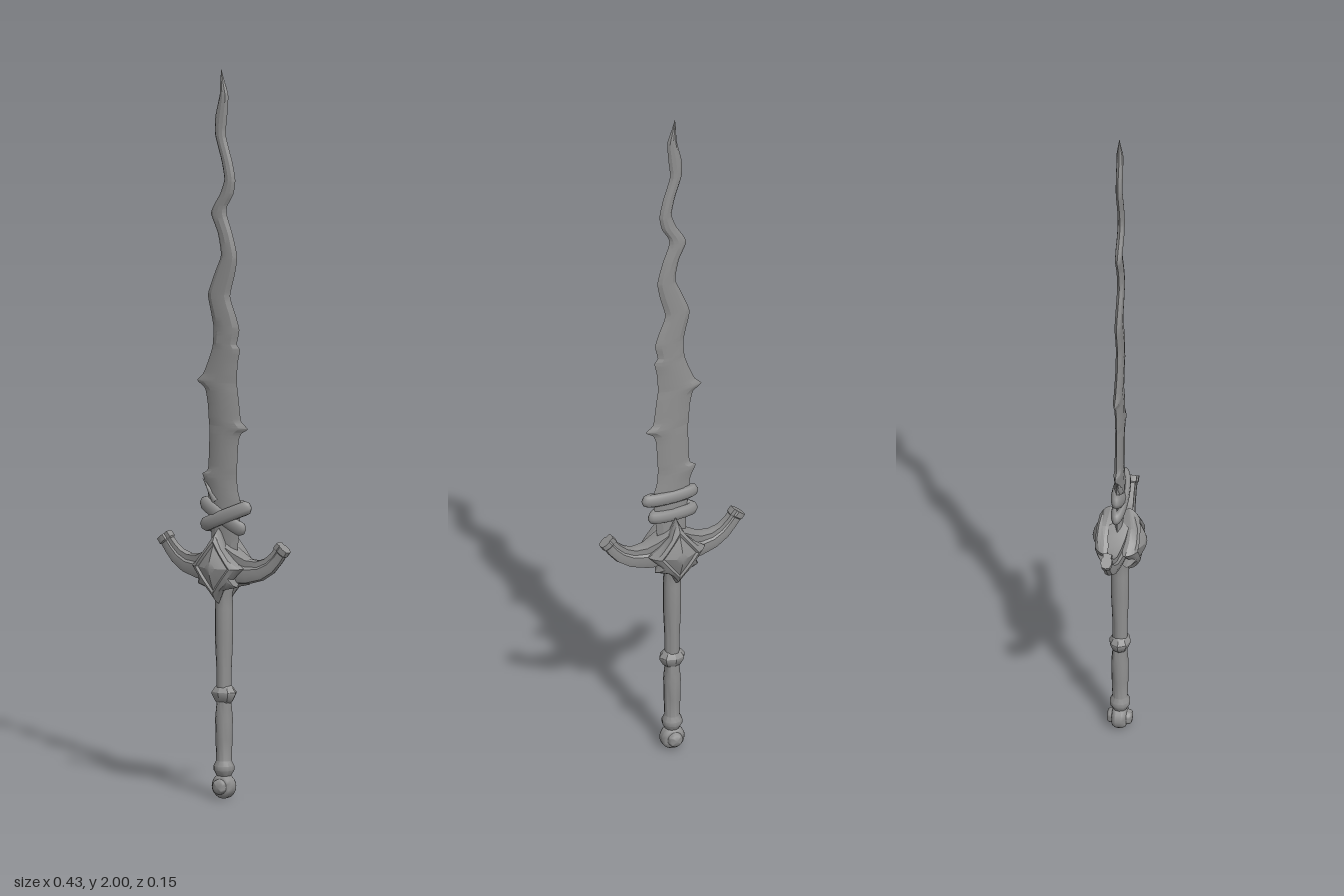
import * as THREE from 'three';
import { toCreasedNormals } from 'three/addons/utils/BufferGeometryUtils.js';

const material = new THREE.MeshStandardMaterial({ color: 0x909090 });
const V = (x, y, z) => new THREE.Vector3(x, y, z);

// Skin a list of equal-length closed rings and cap both ends.
function loft(rings, crease) {
  const n = rings[0].length, pos = [], idx = [];
  rings.forEach(r => r.forEach(p => pos.push(p.x, p.y, p.z)));
  for (let i = 0; i < rings.length - 1; i++)
    for (let j = 0; j < n; j++) {
      const a = i * n + j, b = i * n + (j + 1) % n;
      idx.push(a, b, b + n, a, b + n, a + n);
    }
  [0, rings.length - 1].forEach((k, end) => {
    const c = rings[k].reduce((s, p) => s.add(p), V(0, 0, 0)).divideScalar(n);
    const ci = pos.length / 3;
    pos.push(c.x, c.y, c.z);
    for (let j = 0; j < n; j++) {
      const a = k * n + j, b = k * n + (j + 1) % n;
      if (end) idx.push(ci, a, b); else idx.push(ci, b, a);
    }
  });
  const g = new THREE.BufferGeometry();
  g.setAttribute('position', new THREE.Float32BufferAttribute(pos, 3));
  g.setIndex(idx);
  return toCreasedNormals(g, crease);
}

function add(parent, name, geometry) {
  const m = new THREE.Mesh(geometry, material);
  m.name = name;
  parent.add(m);
  return m;
}

// Wavy blade: rows of height, left edge, right edge
function bladeGeometry() {
  const rows = [
    [0.64, -0.04, 0.04], [0.74, -0.042, 0.05], [0.81, -0.05, 0.055], [0.85, -0.055, 0.045],
    [0.885, -0.07, 0.042], [0.9, -0.052, 0.042], [0.98, -0.048, 0.047], [1.005, -0.048, 0.056],
    [1.02, -0.048, 0.077], [1.04, -0.05, 0.056], [1.08, -0.053, 0.05], [1.12, -0.062, 0.045],
    [1.14, -0.087, 0.042], [1.16, -0.068, 0.042], [1.2, -0.05, 0.045], [1.235, -0.038, 0.052],
    [1.25, -0.036, 0.042], [1.29, -0.034, 0.05], [1.33, -0.042, 0.038], [1.38, -0.052, 0.02],
    [1.44, -0.03, 0.035], [1.49, -0.01, 0.043], [1.55, -0.02, 0.028], [1.6, -0.042, 0.01],
    [1.625, -0.033, 0.01], [1.66, -0.012, 0.03], [1.7, 0.001, 0.037], [1.75, -0.008, 0.027],
    [1.82, -0.029, 0.006], [1.87, -0.028, 0.01], [1.93, -0.014, 0.014], [1.97, -0.012, 0.001],
    [2, -0.009, -0.008]];
  const curve = new THREE.CatmullRomCurve3(
    rows.map(([y, l, r]) => V(l, y, r)), false, 'catmullrom', 0.3);
  const rings = [];
  for (let i = 0; i <= 160; i++) {
    const p = curve.getPoint(i / 160), y = Math.min(p.y, 2), l = p.x, r = p.z;
    const c = (l + r) / 2, w = (r - l) / 2, t = Math.min(0.012 - 0.002 * (y - 0.64), w * 0.8);
    rings.push([V(c, y, t), V(c + w * 0.6, y, t * 0.75), V(c + w, y, 0),
      V(c + w * 0.6, y, -t * 0.75), V(c, y, -t), V(c - w * 0.6, y, -t * 0.75),
      V(c - w, y, 0), V(c - w * 0.6, y, t * 0.75)]);
  }
  return loft(rings, 0.35);
}

// Upswept guard arm: rows of x, y, half height, half depth
function armGeometry() {
  const rows = [[0, 0.645, 0.06, 0.036], [0.04, 0.636, 0.046, 0.031], [0.08, 0.63, 0.035, 0.023],
    [0.12, 0.636, 0.028, 0.018], [0.15, 0.652, 0.024, 0.014], [0.172, 0.674, 0.021, 0.012],
    [0.184, 0.69, 0.02, 0.012], [0.186, 0.693, 0.023, 0.015], [0.196, 0.706, 0.022, 0.015]];
  const path = new THREE.CatmullRomCurve3(rows.map(r => V(r[0], r[1], 0)));
  return loft(rows.map(([x, y, h, w], i) => {
    const t = path.getTangent(i / (rows.length - 1));
    // Flat upper edge, front ridge with a side groove, lower edge, and the same on the back
    return [[1, 0], [0.92, 0.8], [0.4, 0.75], [0.2, 1], [-0.35, 1], [-0.85, 0.75],
      [-1, 0], [-0.85, -0.75], [-0.35, -1], [0.2, -1], [0.4, -0.75], [0.92, -0.8]]
      .map(([u, v]) => V(x - t.y * u * h, y + t.x * u * h, v * w));
  }), 0.5);
}

// Domed four-pointed boss with barbs, a shallow groove and a raised centre
function emblemGeometry() {
  const right = [[0, -0.102], [0.02, -0.064], [0.032, -0.06], [0.064, -0.052], [0.054, -0.03],
    [0.083, 0.0], [0.052, 0.024], [0.024, 0.052], [0, 0.105]];
  const outline = [...right, ...right.slice(1, -1).reverse().map(([x, y]) => [-x, y])];
  const diamond = outline.map(([x, y]) => {
    const s = 1 / (Math.abs(x) / 0.076 + Math.abs(y) / 0.1);
    return [x * s, y * s];
  });
  // Scale, depth, blend from barbed outline to plain diamond, droop of the tips
  const layers = [[0.85, 0.01, 0, 0], [1, 0.046, 0, 0.2], [0.95, 0.056, 0.2, 0.2],
    [0.88, 0.068, 0.8, 0.25], [0.72, 0.07, 1, 0.2], [0.62, 0.06, 1, 0.1],
    [0.52, 0.063, 1, 0.1], [0.22, 0.071, 1, 0], [0.02, 0.075, 1, 0]];
  return loft(layers.map(([s, z, k, droop]) => outline.map(([x, y], i) => {
    const px = s * THREE.MathUtils.lerp(x, diamond[i][0], k);
    const py = s * THREE.MathUtils.lerp(y, diamond[i][1], k);
    return V(px, py, z - droop * Math.hypot(px, py));
  })), 0.45);
}

// One strap in two turns: crossing on the front, level bands on the back
function strapGeometry() {
  const heights = [0.748, 0.802, 0.805, 0.745], reach = [-0.056, 0.07, -0.058, 0.052];
  const depths = [0.028, 0.02, 0.018, 0.02], pts = [];
  heights.forEach((y, k) => {
    const next = (k + 1) % 4, side = k % 2 ? -1 : 1;
    for (let i = 0; i < 12; i++) {
      const a = i / 12 * Math.PI, f = (1 - Math.cos(a)) / 2;
      pts.push(V(THREE.MathUtils.lerp(reach[k], reach[next], f),
        THREE.MathUtils.lerp(y, heights[next], f), side * depths[k] * Math.sin(a)));
    }
  });
  const curve = new THREE.CatmullRomCurve3(pts, true);
  return new THREE.TubeGeometry(curve, 128, 0.02, 8, true).scale(1, 1, 0.5);
}

const lathe = (profile, sides, crease = 0.6) => toCreasedNormals(
  new THREE.LatheGeometry(profile.map(([r, y]) => new THREE.Vector2(r, y)), sides), crease);

export function createModel() {
  const sword = new THREE.Group();
  sword.name = 'sword';

  add(sword, 'blade', bladeGeometry());
  add(sword, 'strap', strapGeometry());

  // Thorn rising from the left of the strap
  const thorn = add(sword, 'strapThorn', new THREE.ConeGeometry(0.014, 0.075, 6));
  thorn.position.set(-0.045, 0.845, 0.004);
  thorn.rotation.z = 0.65;
  thorn.scale.z = 0.7;

  // Guard arms and bosses, repeated by a half turn
  for (const turn of [0, Math.PI]) {
    add(sword, turn ? 'rightGuardArm' : 'leftGuardArm', armGeometry()).rotation.y = turn;
    const emblem = add(sword, turn ? 'backEmblem' : 'frontEmblem', emblemGeometry());
    emblem.position.y = 0.64;
    emblem.rotation.y = turn;
  }

  // Grip with middle collar and lower ferrule
  add(sword, 'grip', lathe([[0, 0.06], [0.02, 0.063], [0.028, 0.078], [0.028, 0.09], [0.021, 0.104],
    [0.023, 0.16], [0.024, 0.22], [0.02, 0.265], [0.021, 0.3], [0.021, 0.36], [0.025, 0.45],
    [0.025, 0.52], [0.023, 0.56], [0.032, 0.6], [0.03, 0.64], [0, 0.65]], 12));
  add(sword, 'gripCollar', lathe([[0.02, 0.262], [0.027, 0.268], [0.037, 0.287],
    [0.037, 0.293], [0.027, 0.306], [0.02, 0.312]], 8)).scale.z = 0.8;

  // Round pommel with a low boss on each face
  const pommel = add(sword, 'pommel', lathe([[0, -0.035], [0.016, -0.033], [0.02, -0.028],
    [0.021, -0.02], [0.028, -0.018], [0.034, -0.008], [0.034, 0.008], [0.028, 0.018],
    [0.021, 0.02], [0.02, 0.028], [0.016, 0.033], [0, 0.035]], 20, 0.9));
  pommel.position.y = 0.034;
  pommel.rotation.x = Math.PI / 2;

  return sword;
}
